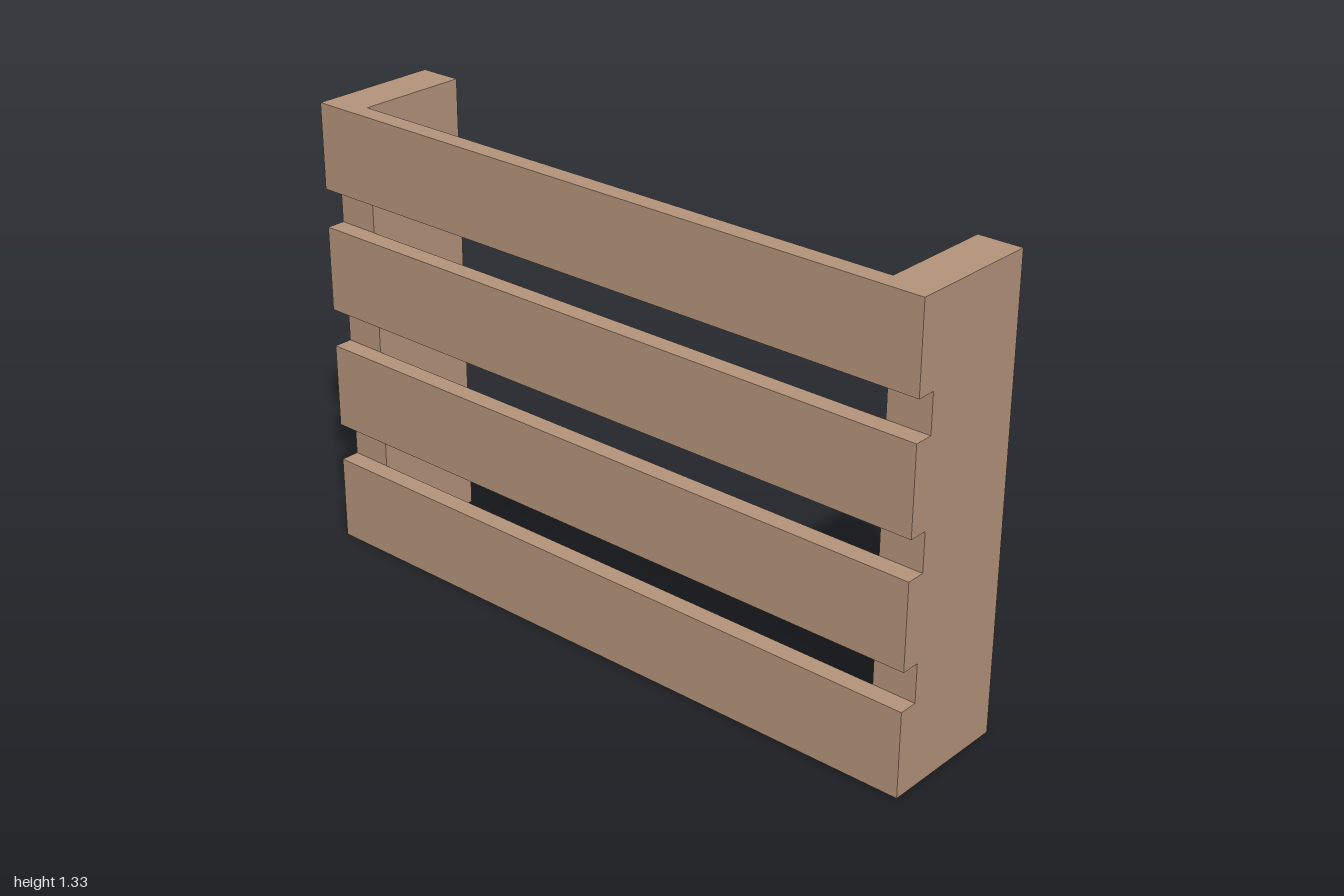
import * as THREE from 'three';

export function createModel() {
  const group = new THREE.Group();
  const wood = new THREE.MeshStandardMaterial({ color: 0xb4937a });
  wood.name = 'wood';

  const height = 1.333, front = 0.194, slatDepth = 0.055;
  const slatHeight = 0.249, slatCount = 4;
  const postWidth = 0.127, postDepth = 2 * front - slatDepth;

  function addBoard(name, w, h, d, x, y, z) {
    const mesh = new THREE.Mesh(new THREE.BoxGeometry(w, h, d), wood);
    mesh.name = name;
    mesh.position.set(x, y, z);
    group.add(mesh);
  }

  // Upright posts behind the slats
  for (const side of [-1, 1]) {
    addBoard(side > 0 ? 'leftPost' : 'rightPost', postWidth, height, postDepth,
      side * (1 - postWidth / 2), height / 2, -slatDepth / 2);
  }

  // Evenly spaced horizontal slats across the front
  const pitch = (height - slatHeight) / (slatCount - 1);
  for (let i = 0; i < slatCount; i++) {
    addBoard(`slat${i + 1}`, 2, slatHeight, slatDepth,
      0, slatHeight / 2 + i * pitch, front - slatDepth / 2);
  }

  return group;
}
